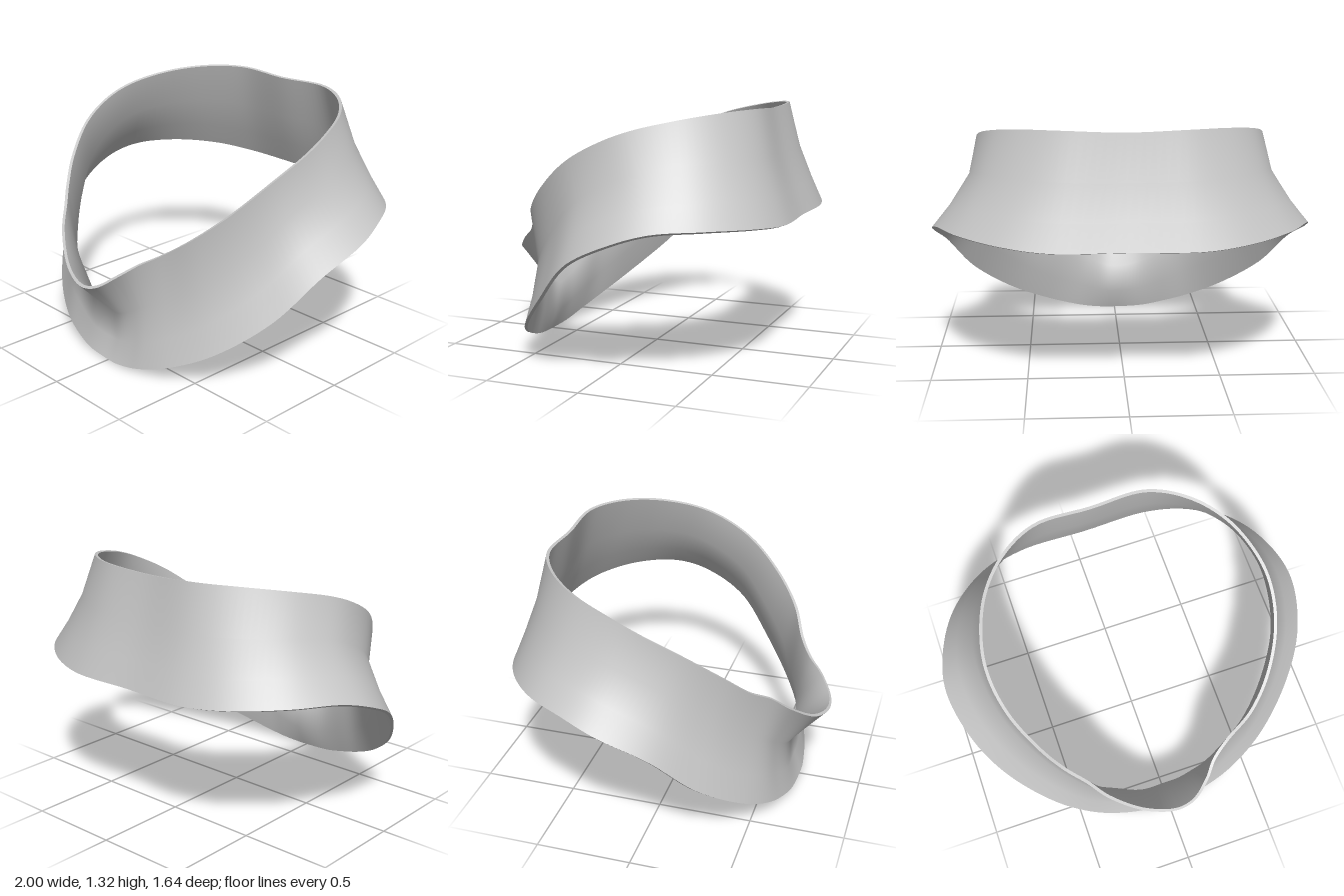
import * as THREE from 'three';
import { toCreasedNormals } from 'three/addons/utils/BufferGeometryUtils.js';

// Stations around the band: top edge x,y,z | bottom edge x,y,z | inward pinch of the middle
const BACK = [0, 1.31, -0.65, 0, 0.76, -0.815, 0.02];
const SIDE = [
  [0.3, 1.32, -0.645, 0.38, 0.76, -0.815, 0.02],
  [0.5, 1.31, -0.54, 0.62, 0.775, -0.735, 0.02],
  [0.65, 1.28, -0.37, 0.83, 0.785, -0.56, 0.03],
  [0.735, 1.23, -0.16, 0.95, 0.775, -0.345, 0.05],
  [0.755, 1.17, 0, 0.995, 0.72, -0.16, 0.07],
  [0.72, 1.07, 0.19, 0.95, 0.6, 0.083, 0.07],
  [0.62, 0.92, 0.377, 0.83, 0.39, 0.286, 0.07],
];
// Front, from +x to -x: the top edge spreads into a slightly uneven spout
const FRONT = [
  [0.49, 0.79, 0.505, 0.62, 0.2, 0.48, 0.06],
  [0.34, 0.68, 0.58, 0.41, 0.09, 0.59, 0.05],
  [0.245, 0.62, 0.645, 0.25, 0.035, 0.635, 0.055],
  [0.18, 0.565, 0.72, 0.16, 0.015, 0.65, 0.09],
  [0.085, 0.495, 0.79, 0.07, 0.005, 0.66, 0.125],
  [-0.015, 0.475, 0.805, 0, 0.005, 0.66, 0.135],
  [-0.18, 0.515, 0.76, -0.16, 0.015, 0.65, 0.105],
  [-0.35, 0.64, 0.66, -0.3, 0.05, 0.625, 0.08],
  [-0.44, 0.74, 0.57, -0.44, 0.1, 0.58, 0.05],
  [-0.53, 0.81, 0.485, -0.62, 0.2, 0.48, 0.06],
];
const mirror = (r) => [-r[0], r[1], r[2], -r[3], r[4], r[5], r[6]];

// Four rings from bottom to top: height fraction and share of the pinch
const RINGS = [[0, 0], [0.24, 0.58], [0.57, 1], [1, 0]];
const COLUMNS = 168;
const HALF = 0.008;

function ringPoint(row, [f, share]) {
  const top = new THREE.Vector3(row[0], row[1], row[2]);
  const p = new THREE.Vector3(row[3], row[4], row[5]).lerp(top, f);
  const inward = new THREE.Vector3(-p.x, 0, -p.z).normalize();
  return p.addScaledVector(inward, row[6] * share);
}

function bandGeometry() {
  const rows = [BACK, ...SIDE, ...FRONT, ...SIDE.map(mirror).reverse()];
  const rings = RINGS.map((ring) => {
    const curve = new THREE.CatmullRomCurve3(rows.map((r) => ringPoint(r, ring)), true);
    return Array.from({ length: COLUMNS }, (_, i) => curve.getPoint(i / COLUMNS));
  });

  // Outer wall going up, then inner wall going down, closed by the rims
  const last = rings.length - 1;
  const count = rings.length * 2;
  const positions = [];
  for (let i = 0; i < COLUMNS; i++) {
    const normals = rings.map((ring, j) => {
      const up = rings[Math.min(j + 1, last)][i].clone().sub(rings[Math.max(j - 1, 0)][i]);
      const along = ring[(i + 1) % COLUMNS].clone().sub(ring[(i + COLUMNS - 1) % COLUMNS]);
      return up.cross(along).normalize();
    });
    for (let k = 0; k < count; k++) {
      const outer = k <= last;
      const j = outer ? k : count - 1 - k;
      const p = rings[j][i].clone().addScaledVector(normals[j], outer ? HALF : -HALF);
      positions.push(p.x, p.y, p.z);
    }
  }

  const index = [];
  for (let i = 0; i < COLUMNS; i++) {
    const next = (i + 1) % COLUMNS;
    for (let k = 0; k < count; k++) {
      const kn = (k + 1) % count;
      const a = i * count + k, b = i * count + kn;
      const c = next * count + k, d = next * count + kn;
      index.push(a, b, c, b, d, c);
    }
  }
  const geometry = new THREE.BufferGeometry();
  geometry.setAttribute('position', new THREE.Float32BufferAttribute(positions, 3));
  geometry.setIndex(index);
  return toCreasedNormals(geometry, 1.2);
}

export function createModel() {
  const group = new THREE.Group();
  group.name = 'collar';
  const grey = new THREE.MeshStandardMaterial({ color: 0xc8c8c8 });
  grey.name = 'light grey';
  const band = new THREE.Mesh(bandGeometry(), grey);
  band.name = 'collarBand';
  group.add(band);
  return group;
}
